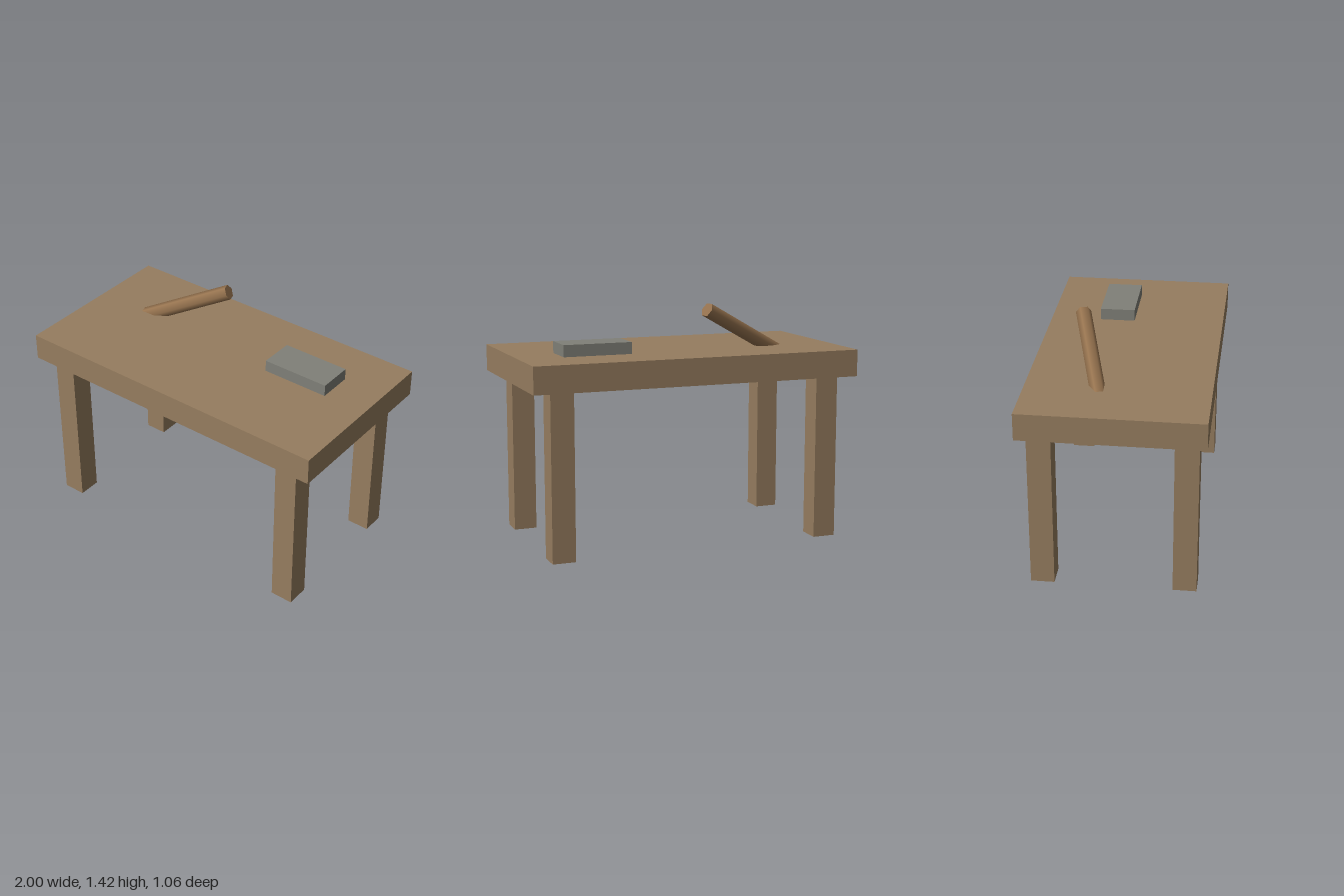
import * as THREE from 'three';

export function createModel() {
  const wood = new THREE.MeshStandardMaterial({ color: 0x967d5f });
  wood.name = 'table wood';
  const darkWood = new THREE.MeshStandardMaterial({ color: 0x96734f });
  darkWood.name = 'rod wood';
  const stone = new THREE.MeshStandardMaterial({ color: 0x808078 });
  stone.name = 'grey stone';

  const model = new THREE.Group();
  model.name = 'workTable';

  const box = (name, material, w, h, d, x, y, z) => {
    const mesh = new THREE.Mesh(new THREE.BoxGeometry(w, h, d), material);
    mesh.name = name;
    mesh.position.set(x, y, z);
    model.add(mesh);
  };

  // Table top and four square legs
  box('tableTop', wood, 2, 0.16, 1.056, 0, 1.06, 0);
  for (const [side, x] of [['Left', 0.823], ['Right', -0.823]]) {
    for (const [end, z] of [['front', 0.412], ['back', -0.412]]) {
      box(`${end}${side}Leg`, wood, 0.138, 0.98, 0.138, x, 0.49, z);
    }
  }

  // Slab lying on the table
  box('stoneSlab', stone, 0.413, 0.07, 0.21, 0.527, 1.175, -0.12);

  // Slanted six-sided rod, its lower end sunk into the table top
  const length = 0.7;
  const axis = new THREE.Vector3(1, 0.533, -0.3).normalize();
  const across = new THREE.Vector3(0.3, 0, 1).normalize();
  const up = new THREE.Vector3().crossVectors(axis, across);
  const rod = new THREE.Mesh(new THREE.CylinderGeometry(0.045, 0.045, length, 6), darkWood);
  rod.name = 'slantedRod';
  rod.quaternion.setFromRotationMatrix(new THREE.Matrix4().makeBasis(up, axis, across));
  rod.position.set(-0.137, 1.385, -0.262).addScaledVector(axis, -length / 2);
  model.add(rod);

  return model;
}
